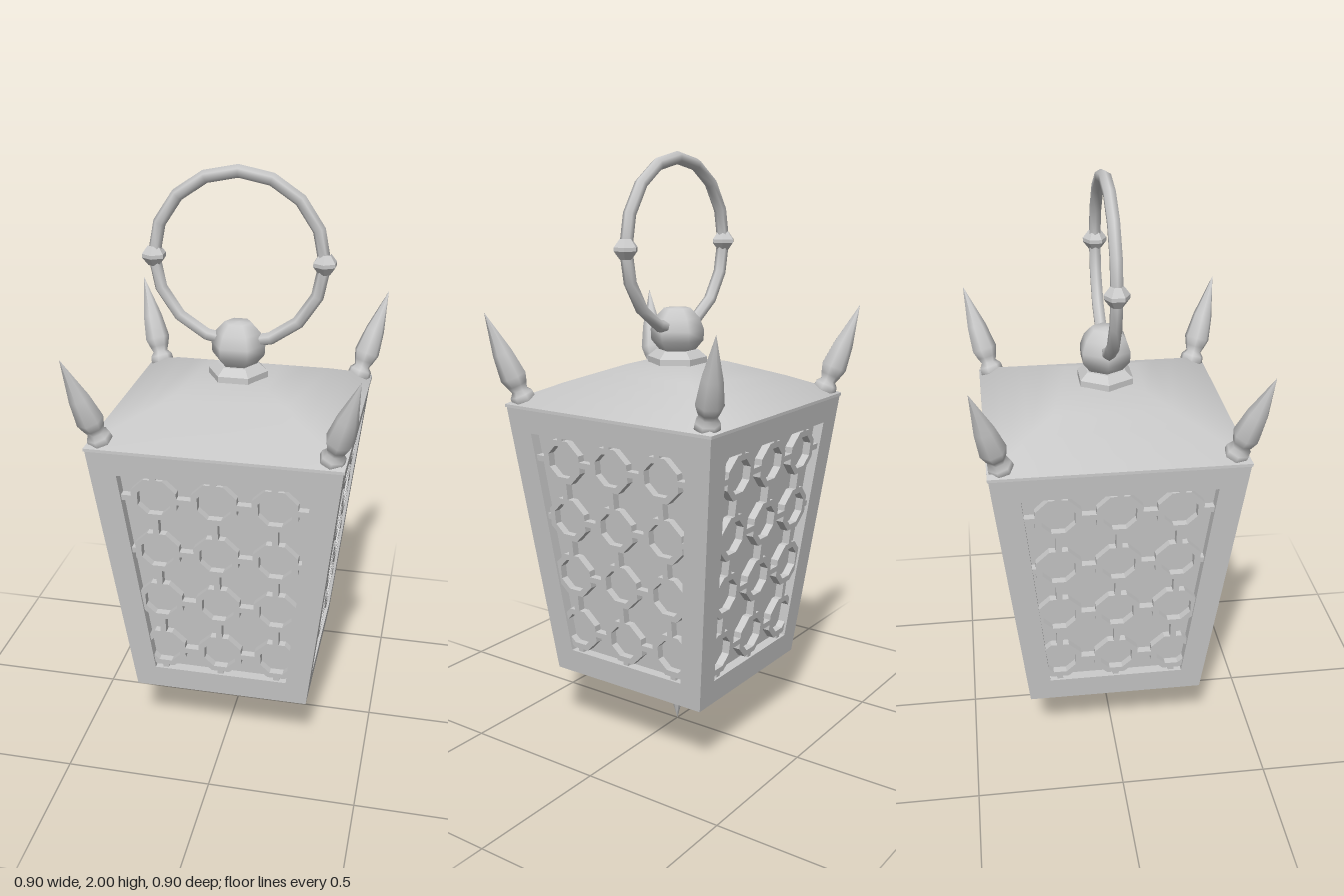
import * as THREE from 'three';

const smooth = new THREE.MeshStandardMaterial({ color: 0xcccccc });
const flat = new THREE.MeshStandardMaterial({ color: 0xcccccc, flatShading: true });

const BOTTOM = 0.235, TOP = 1.185, HALF_BOTTOM = 0.3, HALF_TOP = 0.407;
const SLOPE = (HALF_TOP - HALF_BOTTOM) / (TOP - BOTTOM);
const RECESS = 0.035;

function mesh(name, geometry, material = smooth) {
  const m = new THREE.Mesh(geometry, material);
  m.name = name;
  return m;
}

// Turned part from [radius, y] pairs, bottom to top
function turned(points, sides) {
  return new THREE.LatheGeometry(points.map(([r, y]) => new THREE.Vector2(r, y)), sides);
}

function polygon(points, Type = THREE.Shape) {
  return new Type(points.map(([x, y]) => new THREE.Vector2(x, y)));
}

function octagon(cx, cy, r) {
  return Array.from({ length: 8 }, (_, i) => {
    const a = (i + 0.5) * Math.PI / 4;
    return [cx + r * Math.cos(a), cy + r * Math.sin(a)];
  });
}

function rect(x0, x1, y0, y1) {
  return polygon([[x0, y0], [x1, y0], [x1, y1], [x0, y1]]);
}

// Extrudes shapes between two depths behind the sloping wall plane
function wallPart(shapes, front, back) {
  const g = new THREE.ExtrudeGeometry(shapes, { depth: back - front, bevelEnabled: false });
  return g.applyMatrix4(new THREE.Matrix4().set(
    1, 0, 0, 0,
    0, 1, 0, 0,
    0, SLOPE, 1, HALF_BOTTOM - SLOPE * BOTTOM - back,
    0, 0, 0, 1));
}

// Trapezoid frame with its window opening
function frameGeometry() {
  const s = polygon([[-HALF_BOTTOM, BOTTOM], [HALF_BOTTOM, BOTTOM], [HALF_TOP, TOP], [-HALF_TOP, TOP]]);
  s.holes.push(polygon([[-0.23, 0.32], [-0.31, 1.1], [0.31, 1.1], [0.23, 0.32]], THREE.Path));
  return wallPart(s, 0, RECESS);
}

// Octagonal rings joined by short bars
function grilleGeometry() {
  const shapes = [], R = 0.08, flatR = 0.072, t = 0.01;
  const xs = [-0.195, 0, 0.195], ys = [0.405, 0.61, 0.812, 1.016];
  for (const y of ys) {
    const edge = 0.25 + (y - 0.32) * 0.1;
    for (const x of xs) {
      const ring = polygon(octagon(x, y, R));
      ring.holes.push(polygon(octagon(x, y, 0.058).reverse(), THREE.Path));
      shapes.push(ring);
      const next = y === ys[3] ? 1.11 : y + 0.205 - flatR;
      shapes.push(rect(x - t, x + t, y + flatR, next));
      if (y === ys[0]) shapes.push(rect(x - t, x + t, 0.31, y - flatR));
    }
    for (const s of [-1, 1]) {
      const a = s * flatR, b = s * (0.195 - flatR);
      shapes.push(rect(Math.min(a, b), Math.max(a, b), y - t, y + t));
      const c = s * (0.195 + flatR), d = s * edge;
      if (edge > 0.195 + flatR) shapes.push(rect(Math.min(c, d), Math.max(c, d), y - t, y + t));
    }
  }
  return wallPart(shapes, 0.008, RECESS + 0.005);
}

export function createModel() {
  const model = new THREE.Group();
  model.name = 'lantern';

  // Recessed panes and floor
  const core = new THREE.CylinderGeometry(
    (HALF_TOP - RECESS) * Math.SQRT2, (HALF_BOTTOM - RECESS) * Math.SQRT2, TOP - BOTTOM, 4);
  core.rotateY(Math.PI / 4).translate(0, (TOP + BOTTOM) / 2, 0);
  model.add(mesh('panes', core, flat));

  // Four walls
  const frame = frameGeometry(), grille = grilleGeometry();
  for (let i = 0; i < 4; i++) {
    const wall = new THREE.Group();
    wall.name = 'wall';
    wall.add(mesh('frame', frame), mesh('grille', grille));
    wall.rotation.y = i * Math.PI / 2;
    model.add(wall);
  }

  // Curved square roof
  const roofProfile = [[0, 1.18], [0.41, 1.18], [0.41, 1.19]];
  const roofRim = turned(roofProfile.map(([r, y]) => [r * Math.SQRT2, y]), 4).rotateY(Math.PI / 4);
  model.add(mesh('roofRim', roofRim, flat));
  const roof = turned([[0.41, 1.19], [0.35, 1.222], [0.27, 1.257], [0.19, 1.287], [0.12, 1.313], [0, 1.318]]
    .map(([r, y]) => [r * Math.SQRT2, y]), 4).rotateY(Math.PI / 4);
  model.add(mesh('roof', roof));

  // Hexagonal collar and knob
  const collar = turned([[0.1, 1.3], [0.1, 1.335], [0.072, 1.358], [0, 1.36]], 6).rotateY(Math.PI / 6);
  model.add(mesh('collar', collar, flat));
  const knob = turned([[0.055, 1.35], [0.088, 1.39], [0.09, 1.425], [0.075, 1.465], [0.045, 1.497], [0, 1.5]], 6)
    .rotateY(Math.PI / 6);
  model.add(mesh('topKnob', knob));

  // Carrying ring with two beads
  const ring = mesh('carryingRing', new THREE.TorusGeometry(0.277, 0.021, 6, 16));
  ring.position.y = 1.704;
  model.add(ring);
  const bead = turned([[0.02, -0.032], [0.04, -0.006], [0.04, 0.006], [0.02, 0.032]], 6);
  for (const s of [-1, 1]) {
    const b = mesh('ringBead', bead, flat);
    b.position.set(s * 0.277, 1.704, 0);
    model.add(b);
  }

  // Corner spikes leaning outward
  const spike = turned([[0, -0.01], [0.032, 0], [0.042, 0.02], [0.04, 0.04], [0.027, 0.055], [0.035, 0.075],
    [0.045, 0.105], [0.034, 0.19], [0, 0.335]], 7);
  for (const sx of [-1, 1]) for (const sz of [-1, 1]) {
    const m = mesh('cornerSpike', spike);
    m.position.set(sx * 0.36, 1.185, sz * 0.36);
    m.quaternion.setFromUnitVectors(new THREE.Vector3(0, 1, 0),
      new THREE.Vector3(sx * 0.09, 0.31, sz * 0.09).normalize());
    model.add(m);
  }

  // Bottom spike
  const drop = turned([[0, 0], [0.022, 0.08], [0.043, 0.17], [0.038, 0.24]], 8);
  model.add(mesh('bottomSpike', drop));

  return model;
}
